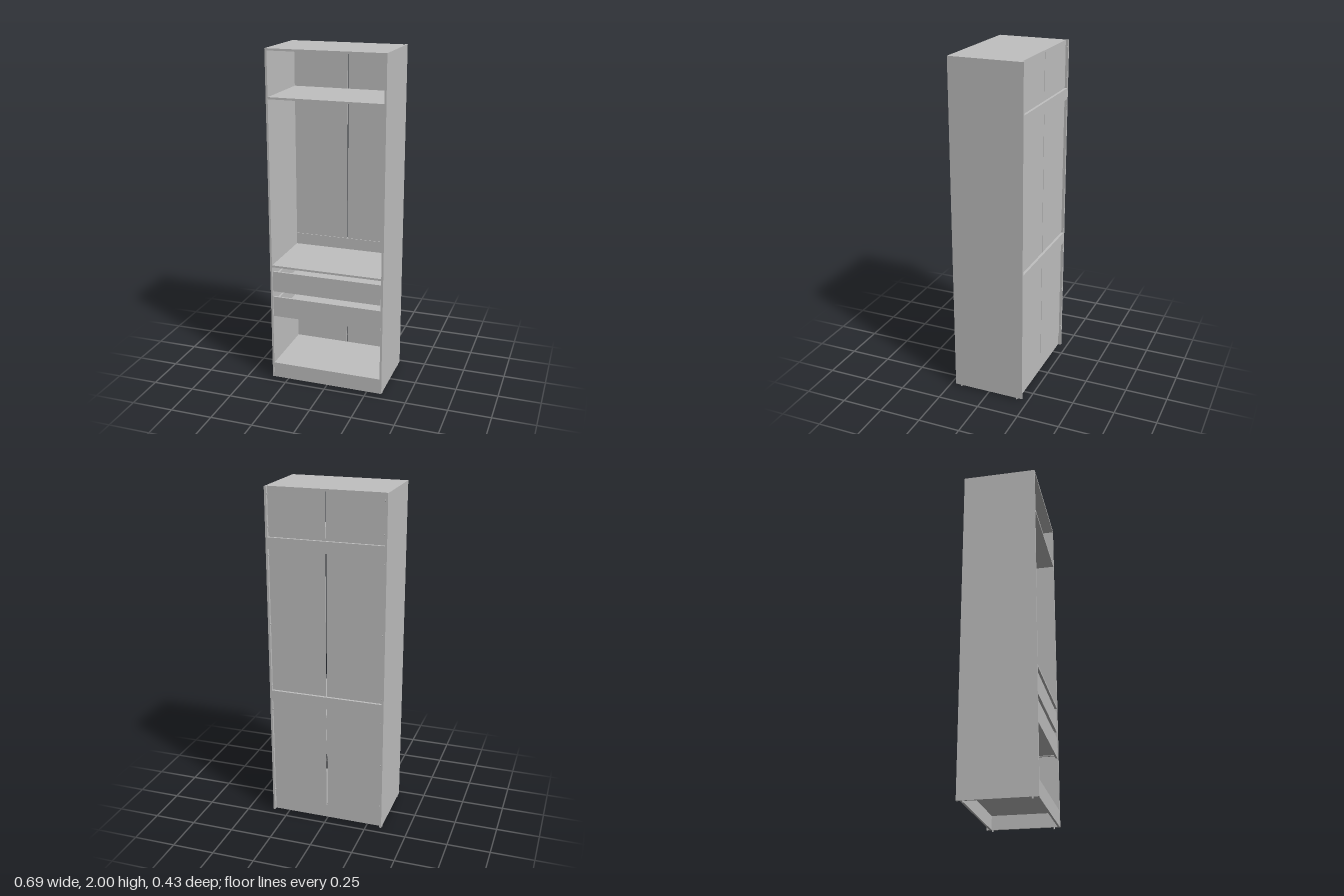
import * as THREE from 'three';

export function createModel() {
  const model = new THREE.Group();
  model.name = 'wardrobe';
  const grey = new THREE.MeshStandardMaterial({ color: 0xc0c0c0 });
  grey.name = 'grey board';

  // Board given by its limits on each axis
  function board(name, x0, x1, y0, y1, z0, z1, parent = model) {
    const mesh = new THREE.Mesh(new THREE.BoxGeometry(x1 - x0, y1 - y0, z1 - z0), grey);
    mesh.position.set((x0 + x1) / 2, (y0 + y1) / 2, (z0 + z1) / 2);
    mesh.name = name;
    parent.add(mesh);
    return mesh;
  }
  // Upright disc or peg along a chosen axis
  function peg(name, radius, length, x, y, z, alongX) {
    const mesh = new THREE.Mesh(new THREE.CylinderGeometry(radius, radius, length, 12), grey);
    if (alongX) mesh.rotation.z = Math.PI / 2;
    mesh.position.set(x, y, z);
    mesh.name = name;
    model.add(mesh);
  }

  const W = 0.345, IN = 0.333, D = 0.215, BACK = -0.2;

  // Side panels, feet and back fixing studs
  for (const s of [-1, 1]) {
    board(s > 0 ? 'leftSide' : 'rightSide', Math.min(s * IN, s * W), Math.max(s * IN, s * W), 0.01, 2, -D - 0.001, D);
    for (const z of [-0.18, 0.18]) peg('foot', 0.005, 0.012, s * 0.339, 0.006, z, false);
    for (const y of [1.96, 1.78, 1.62, 1.22, 0.84, 0.69, 0.42, 0.15]) {
      peg('fixingStud', 0.005, 0.004, s * (IN - 0.002), y, -0.208, true);
    }
  }

  // Top, fixed shelves and bottom
  board('top', -IN, IN, 1.988, 2, BACK, D);
  board('upperShelf', -IN, IN, 1.722, 1.734, BACK + 0.004, D - 0.002);
  board('middleShelf', -IN, IN, 0.728, 0.74, BACK + 0.004, D - 0.002);
  board('bottomShelf', -IN, IN, 0.092, 0.104, BACK + 0.004, D - 0.002);

  // Plinth boards
  board('frontPlinth', -IN, IN, 0.01, 0.092, D - 0.014, D - 0.002);
  board('backPlinth', -IN, IN, 0.01, 0.092, -0.197, -0.185);

  // Back rails, standing proud of the back panels
  board('upperBackRail', -IN, IN, 1.656, 1.722, -D, BACK + 0.008);
  board('middleBackRail', -IN, IN, 0.74, 0.81, -D, BACK + 0.008);

  // Paired back panels with a narrow gap between them
  for (const [y0, y1] of [[1.722, 1.988], [0.81, 1.656], [0.092, 0.74]]) {
    for (const s of [-1, 1]) {
      board('backPanel', s > 0 ? 0.0025 : -IN, s > 0 ? IN : -0.0025, y0, y1, BACK, BACK + 0.004);
    }
  }

  // Two open drawers
  for (const y of [0.415, 0.575]) {
    const drawer = new THREE.Group();
    drawer.name = 'drawer';
    model.add(drawer);
    board('drawerFront', -0.331, 0.331, y, y + 0.125, 0.198, 0.21, drawer);
    board('drawerBottom', -0.31, 0.31, y + 0.015, y + 0.02, -0.17, 0.198, drawer);
    board('drawerBack', -0.31, 0.31, y + 0.015, y + 0.105, -0.182, -0.17, drawer);
    for (const s of [-1, 1]) {
      const side = board('drawerSide', -0.006, 0.006, y + 0.01, y + 0.105, -0.182, 0.198, drawer);
      side.position.x = s * 0.316;
      const runner = board('drawerRunner', -0.0055, 0.0055, y + 0.03, y + 0.05, -0.17, 0.19, drawer);
      runner.position.x = s * 0.3275;
    }
  }

  return model;
}
